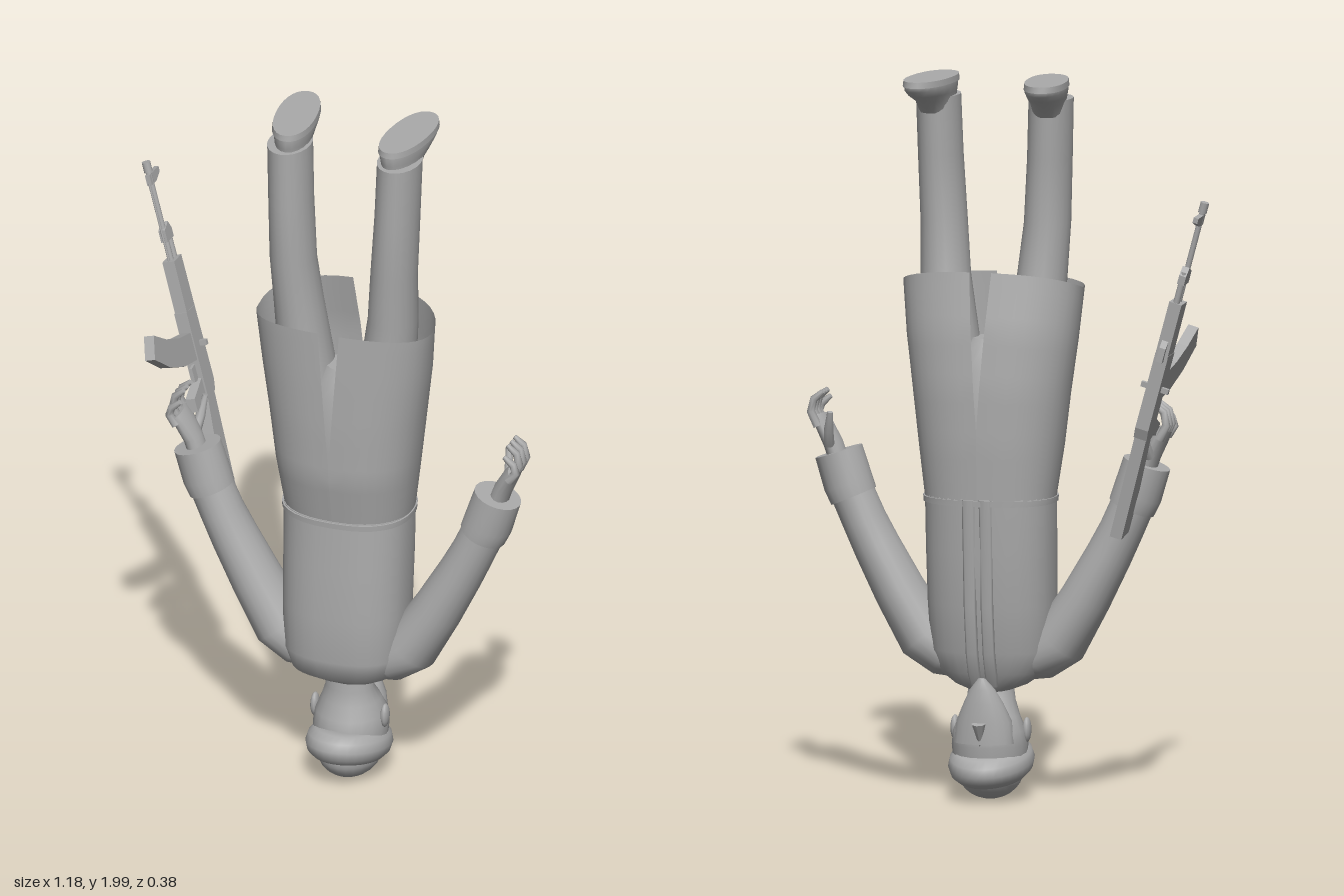
import * as THREE from 'three';

const grey = new THREE.MeshStandardMaterial({ color: 0xaaaaaa, side: THREE.DoubleSide });
grey.name = 'plainGrey';
const CX = 0.07; // the body's middle line

function add(parent, name, geo) {
  const m = new THREE.Mesh(geo, grey);
  m.name = name;
  parent.add(m);
  return m;
}

const se = (c, e) => Math.sign(c) * Math.abs(c) ** (2 / e);

// Skin over elliptical rings: rows of [x, y, z, side radius, depth radius].
function sweep(rows, { n = 20, e = 2, flat = false, cap = true } = {}) {
  const Z = new THREE.Vector3(0, 0, 1);
  const rings = rows.map((r, i) => {
    const a = rows[Math.max(0, i - 1)], b = rows[Math.min(rows.length - 1, i + 1)];
    const t = flat ? new THREE.Vector3(0, 1, 0)
      : new THREE.Vector3(b[0] - a[0], b[1] - a[1], b[2] - a[2]).normalize();
    const side = new THREE.Vector3().crossVectors(t, Z).normalize();
    return { r, side, deep: new THREE.Vector3().crossVectors(side, t), k: 1 };
  });
  if (cap) {
    const f = rings[0], l = rings[rings.length - 1];
    rings.unshift({ ...f, k: 0 }, { ...f });
    rings.push({ ...l }, { ...l, k: 0 });
  }
  const pos = [], idx = [];
  rings.forEach(({ r, side, deep, k }, i) => {
    for (let j = 0; j < n; j++) {
      const q = j / n * Math.PI * 2;
      const u = se(Math.cos(q), e) * r[3] * k, v = se(Math.sin(q), e) * r[4] * k;
      pos.push(r[0] + side.x * u + deep.x * v, r[1] + side.y * u + deep.y * v, r[2] + side.z * u + deep.z * v);
      if (i) {
        const a = (i - 1) * n + j, b = (i - 1) * n + (j + 1) % n;
        idx.push(a, a + n, b, b, a + n, b + n);
      }
    }
  });
  return mesh(pos, idx);
}

function mesh(pos, idx) {
  const g = new THREE.BufferGeometry();
  g.setAttribute('position', new THREE.Float32BufferAttribute(pos, 3));
  g.setIndex(idx);
  g.computeVertexNormals();
  return g;
}

// Rows of [y, half width, z min, z max] turned into level rings.
const level = (rows, x = CX) => rows.map(([y, w, a, b]) => [x, y, (a + b) / 2, w, (b - a) / 2]);

// One half of the coat skirt, leaving a tapering slit at front and back.
function skirtHalf(s) {
  const rows = [[0.18, -0.130, 0.158], [0.2, -0.138, 0.188], [0.218, -0.138, 0.192], [0.238, -0.125, 0.192], [0.253, -0.095, 0.19]];
  const N = 20, M = 16, pos = [], idx = [];
  for (let i = 0; i <= M; i++) {
    const v = i / M, f = Math.min(v * 4, 3.999), k = Math.floor(f);
    const [w, z0, z1] = rows[k].map((p, c) => THREE.MathUtils.lerp(p, rows[k + 1][c], f - k));
    const gap = 0.09 * Math.max(0, (v - 0.32) / 0.68);
    for (let j = 0; j <= N; j++) {
      const q = (j / N - 0.5) * (Math.PI - 2 * gap);
      const z = (z0 + z1) / 2 + se(Math.sin(q), 2.3) * (z1 - z0) / 2;
      const hem = 1.425 + 0.05 * Math.max(0, -Math.sin(q)) + 0.015 * Math.max(0, Math.sin(q)) ** 2;
      pos.push(CX + s * w * se(Math.cos(q), 2.3), 0.84 + v * (hem - 0.84), z);
      if (i && j) {
        const d = i * (N + 1) + j, c = d - 1, b = d - N - 1, a = b - 1;
        idx.push(...(s > 0 ? [a, c, b, b, c, d] : [a, b, c, b, d, c]));
      }
    }
  }
  return mesh(pos, idx);
}

function buildHead(g) {
  add(g, 'neckAndHead', sweep(level([[0.1, 0.1, -0.09, 0.11], [0.16, 0.105, -0.1, 0.112], [0.2, 0.1, -0.098, 0.1],
    [0.24, 0.083, -0.075, 0.083], [0.28, 0.068, -0.04, 0.075], [0.34, 0.06, -0.035, 0.072]]), { flat: true }));
  add(g, 'beardedJaw', sweep(level([[0.17, 0.085, -0.108, 0], [0.23, 0.078, -0.108, 0], [0.28, 0.056, -0.103, -0.02],
    [0.32, 0.035, -0.1, -0.045], [0.35, 0.01, -0.09, -0.07]]), { flat: true }));
  const nose = add(g, 'nose', new THREE.ConeGeometry(0.02, 0.07, 8));
  nose.position.set(CX, 0.195, -0.105);
  nose.rotation.x = Math.PI - 0.2;
  for (const s of [1, -1]) {
    const ear = add(g, 'ear', new THREE.SphereGeometry(1, 10, 8));
    ear.scale.set(0.012, 0.035, 0.022);
    ear.position.set(CX + s * 0.102, 0.2, 0.015);
  }
  const brim = add(g, 'rolledBrim', new THREE.TorusGeometry(0.072, 0.044, 12, 32).rotateX(Math.PI / 2).scale(1.0, 1.05, 1.33));
  brim.position.set(CX, 0.11, 0.02);
  brim.rotation.x = -0.2;
  const crown = add(g, 'capCrown', new THREE.SphereGeometry(1, 24, 14));
  crown.scale.set(0.088, 0.075, 0.108);
  crown.position.set(CX, 0.082, 0.013);
}

function buildCoat(g) {
  const torso = [[0.305, 0.045, -0.035, 0.07], [0.325, 0.1, -0.05, 0.105], [0.36, 0.15, -0.07, 0.16], [0.42, 0.172, -0.092, 0.175],
    [0.55, 0.177, -0.112, 0.177], [0.7, 0.179, -0.125, 0.17], [0.85, 0.18, -0.132, 0.163]];
  add(g, 'coatBody', sweep(level(torso), { n: 32, e: 2.4, flat: true }));
  add(g, 'waistSeam', sweep(level([[0.832, 0.184, -0.136, 0.167], [0.848, 0.185, -0.137, 0.168]]), { n: 32, e: 2.4, flat: true }));
  for (const s of [1, -1]) {
    add(g, 'coatSkirtHalf', skirtHalf(s));
    // Overlapping front edge from waist to collar
    add(g, 'coatFrontEdge', sweep([[CX + s * 0.022, 0.325, -0.05, 0.016, 0.004], [CX + s * 0.024, 0.36, -0.07, 0.018, 0.004],
      [CX + s * 0.024, 0.42, -0.092, 0.018, 0.005], [CX + s * 0.024, 0.55, -0.112, 0.018, 0.005],
      [CX + s * 0.024, 0.85, -0.133, 0.018, 0.005]], { n: 8 }));
  }
}

function buildArm(g, s) {
  const X = x => CX + s * x;
  add(g, 'sleeve', sweep([[X(0.08), 0.375, 0.04, 0.045, 0.06], [X(0.13), 0.4, 0.04, 0.068, 0.08], [X(0.19), 0.445, 0.038, 0.078, 0.086],
    [X(0.265), 0.57, 0.035, 0.07, 0.08], [X(0.33), 0.69, 0.035, 0.064, 0.072], [X(0.365), 0.76, 0.035, 0.061, 0.066],
    [X(0.41), 0.86, 0.034, 0.06, 0.062]]));
  add(g, 'cuff', sweep([[X(0.395), 0.825, 0.034, 0.066, 0.067], [X(0.41), 0.86, 0.034, 0.069, 0.069], [X(0.438), 0.948, 0.034, 0.067, 0.066]]));
  add(g, 'palm', sweep([[X(0.435), 0.92, 0.03, 0.027, 0.035], [X(0.452), 0.97, 0.03, 0.026, 0.038], [X(0.478), 1.02, 0.032, 0.022, 0.048],
    [X(0.492), 1.045, 0.035, 0.017, 0.047]], { n: 14 }));
  for (let i = 0; i < 4; i++) {
    const z = 0.075 - i * 0.028, d = i === 0 ? -0.022 : 0;
    add(g, 'finger', sweep([[X(0.485), 1.02, z, 0.013, 0.013], [X(0.505), 1.06 + d / 2, z, 0.012, 0.012],
      [X(0.497), 1.095 + d, z + 0.002, 0.011, 0.011], [X(0.472), 1.116 + d, z + 0.003, 0.007, 0.007]], { n: 8 }));
  }
  add(g, 'thumb', sweep([[X(0.455), 0.97, 0, 0.015, 0.015], [X(0.45), 1.01, -0.025, 0.014, 0.014],
    [X(0.442), 1.065, -0.04, 0.008, 0.008]], { n: 8 }));
}

function buildLeg(g, s) {
  const X = x => CX + s * x;
  add(g, 'trouserLeg', sweep([[X(0.08), 1.0, 0.03, 0.085, 0.1], [X(0.115), 1.25, 0.035, 0.078, 0.09], [X(0.137), 1.45, 0.045, 0.069, 0.077],
    [X(0.147), 1.6, 0.065, 0.064, 0.074], [X(0.155), 1.78, 0.06, 0.061, 0.08], [X(0.16), 1.945, 0.055, 0.06, 0.085]], { flat: true }));
  const shoe = new THREE.Group();
  shoe.name = 'shoe';
  shoe.position.x = X(0.163);
  shoe.rotation.y = -s * 0.12;
  g.add(shoe);
  add(shoe, 'shoeUpper', sweep(level([[1.9, 0.045, -0.03, 0.115], [1.935, 0.048, -0.065, 0.12], [1.955, 0.053, -0.115, 0.126],
    [1.972, 0.057, -0.142, 0.13], [1.985, 0.057, -0.143, 0.13]], 0), { flat: true }));
  add(shoe, 'shoeSole', sweep(level([[1.983, 0.059, -0.145, 0.132], [2, 0.057, -0.143, 0.13]], 0), { flat: true, n: 28, e: 2.2 }));
}

// Rifle in its own frame: y runs to the muzzle at 0, z points to the magazine side.
function buildRifle(root) {
  const g = new THREE.Group();
  g.name = 'rifle';
  root.add(g);
  const muzzle = new THREE.Vector3(-0.58, 1.7, -0.135), butt = new THREE.Vector3(-0.31, 0.75, -0.075);
  const y = muzzle.clone().sub(butt).normalize();
  const x = new THREE.Vector3().crossVectors(y, new THREE.Vector3(0, 0, 1)).normalize();
  g.quaternion.setFromRotationMatrix(new THREE.Matrix4().makeBasis(x, y, x.clone().cross(y)));
  g.position.copy(muzzle);
  const plate = (name, pts, w) => add(g, name, new THREE.ExtrudeGeometry(
    new THREE.Shape(pts.map(p => new THREE.Vector2(...p))), { depth: w, bevelEnabled: false }).translate(0, 0, -w / 2).rotateY(-Math.PI / 2));
  const rod = (name, r, a, b, z) => add(g, name, new THREE.CylinderGeometry(r, r, b - a, 10).translate(0, (a + b) / 2, z));
  rod('barrel', 0.008, -0.45, 0, 0);
  rod('muzzleNut', 0.012, -0.03, 0, 0);
  rod('gasTube', 0.009, -0.45, -0.2, -0.024);
  rod('cleaningRod', 0.003, -0.4, -0.06, 0.014);
  plate('gasBlock', [[0.012, -0.235], [0.012, -0.2], [-0.02, -0.185], [-0.034, -0.21], [-0.034, -0.235]], 0.02);
  plate('frontSight', [[0.014, -0.065], [0.014, -0.035], [-0.055, -0.035], [-0.055, -0.05], [-0.02, -0.065]], 0.014);
  plate('handguard', [[0.022, -0.45], [0.02, -0.29], [-0.034, -0.29], [-0.036, -0.45]], 0.036);
  plate('rearSight', [[-0.03, -0.46], [-0.03, -0.39], [-0.046, -0.42], [-0.048, -0.46]], 0.018);
  plate('receiver', [[0.026, -0.69], [0.026, -0.44], [-0.034, -0.44], [-0.038, -0.66], [-0.028, -0.69]], 0.038);
  plate('boltHandle', [[-0.016, -0.55], [-0.016, -0.535], [-0.004, -0.535], [-0.004, -0.55]], 0.08);
  plate('magazine', [[0.02, -0.5], [0.1, -0.485], [0.18, -0.455], [0.25, -0.415], [0.28, -0.475], [0.2, -0.53], [0.11, -0.565], [0.02, -0.58]], 0.03);
  plate('triggerGuard', [[0.02, -0.59], [0.05, -0.595], [0.05, -0.635], [0.02, -0.64]], 0.008);
  plate('pistolGrip', [[0.02, -0.63], [0.1, -0.665], [0.1, -0.705], [0.02, -0.675]], 0.028);
  plate('stock', [[-0.026, -0.68], [-0.008, -0.985], [0.075, -0.97], [0.022, -0.68]], 0.034);
}

export function createModel() {
  const g = new THREE.Group();
  g.name = 'upsideDownFigure';
  buildHead(g);
  buildCoat(g);
  add(g, 'hips', sweep(level([[0.86, 0.16, -0.1, 0.14], [1.05, 0.16, -0.09, 0.145], [1.2, 0.13, -0.07, 0.13], [1.28, 0.06, -0.02, 0.09]]), { flat: true }));
  for (const s of [1, -1]) {
    buildArm(g, s);
    buildLeg(g, s);
  }
  buildRifle(g);
  return g;
}
